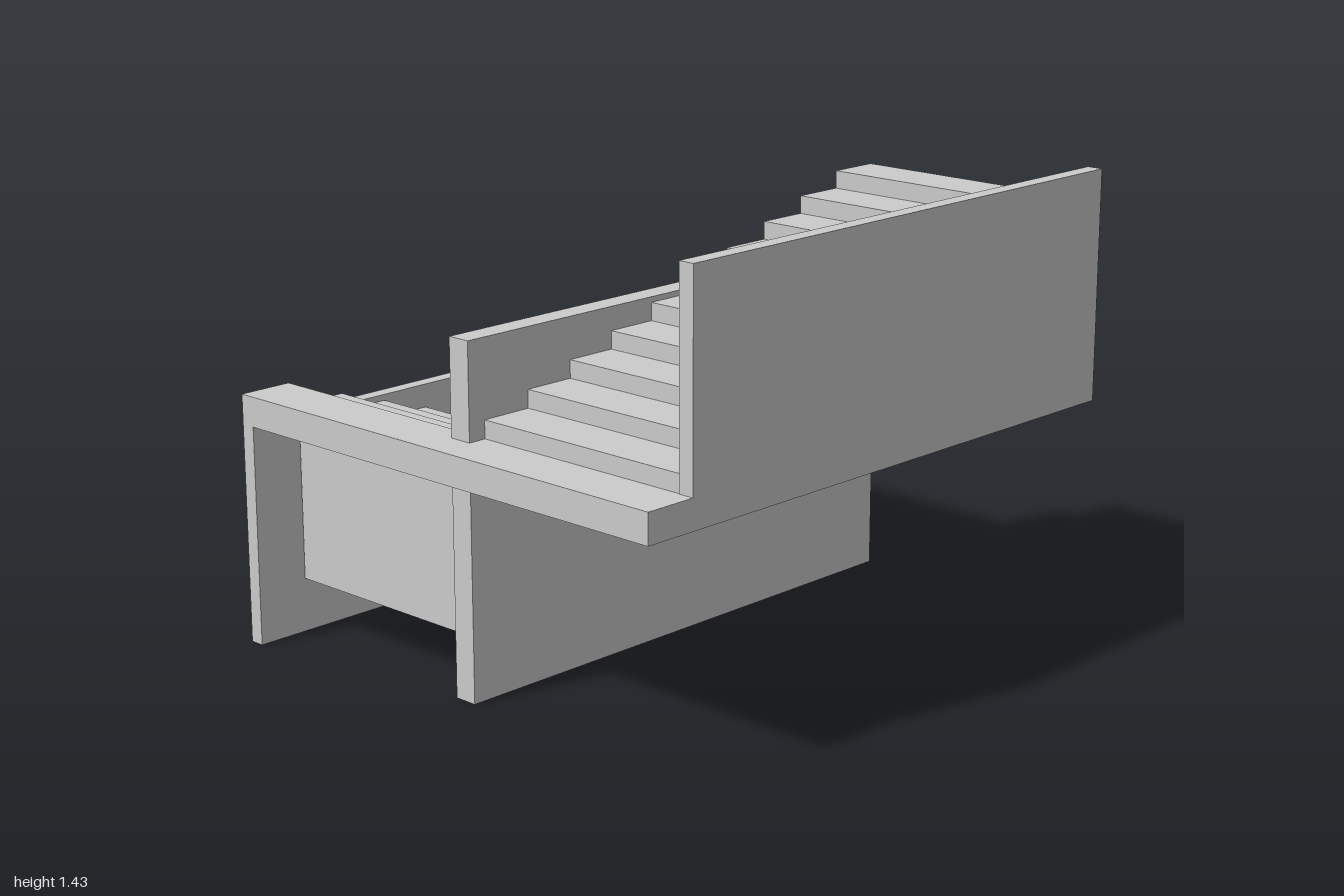
import * as THREE from 'three';

const material = new THREE.MeshStandardMaterial({ color: 0xcccccc, flatShading: true });

const STEPS = 10;
const RISE = 0.0565;
const Z_FRONT = 0.825, Z_BACK = -0.89;
const RUN = (Z_FRONT - Z_BACK) / STEPS;
const LANDING_BOTTOM = 0.7, LANDING_TOP = 0.795;

// Box given by its limits along each axis
function block(name, [x0, x1], [y0, y1], [z0, z1]) {
  const mesh = new THREE.Mesh(new THREE.BoxGeometry(x1 - x0, y1 - y0, z1 - z0), material);
  mesh.position.set((x0 + x1) / 2, (y0 + y1) / 2, (z0 + z1) / 2);
  mesh.name = name;
  return mesh;
}

// Solid flight starting at the landing; direction +1 climbs and -1 descends to the back
function flight(name, [x0, x1], base, direction) {
  const profile = new THREE.Shape();
  profile.moveTo(Z_FRONT, base);
  for (let i = 0; i < STEPS; i++) {
    const y = LANDING_TOP + direction * RISE * (i + 1);
    profile.lineTo(Z_FRONT - i * RUN, y);
    profile.lineTo(Z_FRONT - (i + 1) * RUN, y);
  }
  profile.lineTo(Z_BACK, base);
  profile.closePath();
  const geometry = new THREE.ExtrudeGeometry(profile, { depth: x1 - x0, bevelEnabled: false });
  geometry.rotateY(-Math.PI / 2);
  geometry.translate(x1, 0, 0);
  const mesh = new THREE.Mesh(geometry, material);
  mesh.name = name;
  return mesh;
}

export function createModel() {
  const model = new THREE.Group();
  model.name = 'staircase';

  model.add(
    // Landing across the front and the slab carrying the upper flight
    block('landing', [-0.855, 0.855], [LANDING_BOTTOM, LANDING_TOP], [0.82, 1]),
    block('upperFloorSlab', [-0.005, 0.855], [LANDING_BOTTOM, LANDING_TOP], [-1, 0.82]),

    // Two flights running side by side
    flight('lowerFlight', [-0.803, -0.04], 0.175, -1),
    flight('upperFlight', [0.03, 0.803], LANDING_TOP - 0.01, 1),

    // Walls
    block('centreWall', [-0.04, 0.037], [0, 1.095], [-0.915, 0.885]),
    block('lowerSideWall', [-0.855, -0.807], [0, LANDING_BOTTOM], [-1, 1]),
    block('lowerBackWall', [-0.807, -0.035], [0, LANDING_BOTTOM], [-1, -0.95]),
    block('upperSideWall', [0.803, 0.855], [LANDING_TOP, 1.435], [-1, 0.828])
  );

  return model;
}
